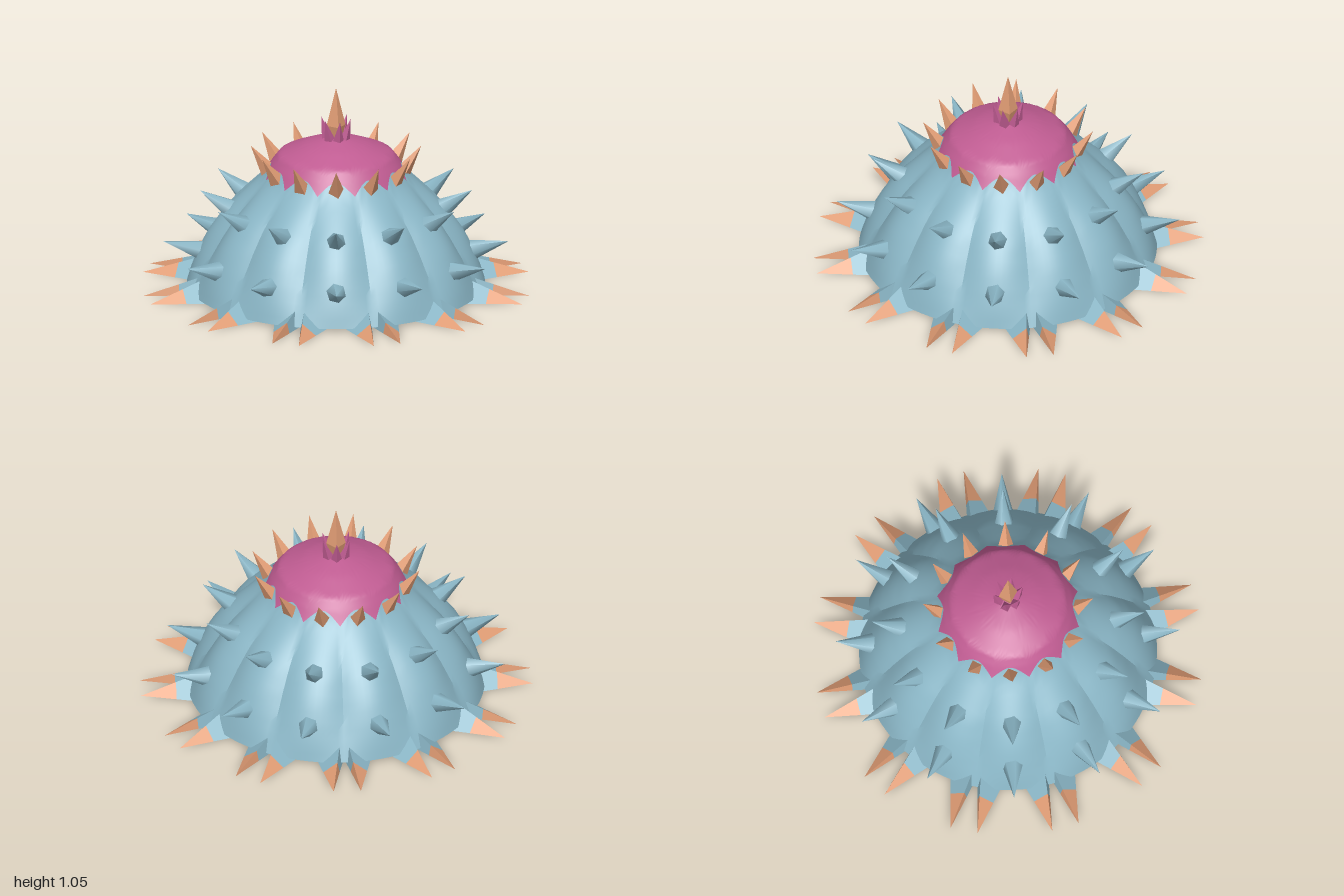
import * as THREE from 'three';
import { toCreasedNormals } from 'three/addons/utils/BufferGeometryUtils.js';

const mat = (name, color, extra = {}) => {
  const m = new THREE.MeshStandardMaterial({ color, ...extra });
  m.name = name;
  return m;
};

// Dome outline: [height, radius] from rim to pole
const PROFILE = [[0.02, 0.76], [0.1, 0.73], [0.2, 0.685], [0.3, 0.63], [0.4, 0.56],
  [0.5, 0.465], [0.6, 0.367], [0.66, 0.33], [0.71, 0.292], [0.765, 0.16], [0.805, 0.002]];
const LOBES = 12, STEP = Math.PI * 2 / LOBES;

function radiusAt(y) {
  for (let i = 1; i < PROFILE.length; i++) {
    const [y0, r0] = PROFILE[i - 1], [y1, r1] = PROFILE[i];
    if (y <= y1) return r0 + (r1 - r0) * (y - y0) / (y1 - y0);
  }
  return 0.002;
}

// Puffed lobes with creased seams every 30 degrees
const lobe = a => Math.abs(Math.sin(a * LOBES / 2));
function domeRadius(y, a) {
  const t = THREE.MathUtils.clamp((y - 0.02) / 0.58, 0, 1);
  return radiusAt(y) + Math.sin(t * Math.PI) * (0.042 * lobe(a) - 0.025);
}
const hem = a => 0.595 + 0.065 * lobe(a);

// Closed ring surface; fn(u, angle) gives [radius, y], u runs top to bottom
function ringSurface(fn, rows, segs, inward, crease) {
  const pos = [], index = [];
  for (let i = 0; i <= rows; i++) for (let j = 0; j < segs; j++) {
    const a = j / segs * Math.PI * 2, [r, y] = fn(i / rows, a);
    pos.push(r * Math.sin(a), y, r * Math.cos(a));
  }
  for (let i = 0; i < rows; i++) for (let j = 0; j < segs; j++) {
    const k = (j + 1) % segs;
    const a = i * segs + j, b = a + segs, c = i * segs + k, d = c + segs;
    if (inward) index.push(a, c, b, c, d, b);
    else index.push(a, b, c, c, b, d);
  }
  const g = new THREE.BufferGeometry();
  g.setAttribute('position', new THREE.Float32BufferAttribute(pos, 3));
  g.setIndex(index);
  return toCreasedNormals(g, crease);
}

const polar = (a, r, y) => new THREE.Vector3(r * Math.sin(a), y, r * Math.cos(a));

// Cone piece between two points; up to four sides are faceted, more are smooth
function spike(name, from, to, r0, r1, sides, material) {
  const dir = to.clone().sub(from), len = dir.length();
  let g = new THREE.CylinderGeometry(r1, r0, len, sides, 1);
  if (sides <= 4) {
    g = g.toNonIndexed();
    g.computeVertexNormals();
  }
  const m = new THREE.Mesh(g, material);
  m.name = name;
  m.position.copy(from).addScaledVector(dir, 0.5);
  m.quaternion.setFromUnitVectors(new THREE.Vector3(0, 1, 0), dir.normalize());
  return m;
}

// Flat-bottomed piece of a rim spike between two distances, ridge on the seam side
function ridgePiece(z0, z1) {
  const section = z => {
    const s = (1 - z) / 0.3;
    return [[-0.07 * s, 0.005, z], [0.07 * s, 0.005, z], [-0.05 * s, 0.005 + 0.095 * s, z]];
  };
  const A = section(z0), B = section(z1), pos = [];
  for (let i = 0; i < 3; i++) {
    const k = (i + 1) % 3;
    pos.push(...A[i], ...A[k], ...B[k], ...A[i], ...B[k], ...B[i]);
  }
  const g = new THREE.BufferGeometry();
  g.setAttribute('position', new THREE.Float32BufferAttribute(pos, 3));
  g.computeVertexNormals();
  return g;
}

export function createModel() {
  const model = new THREE.Group();
  const blue = mat('shell blue', 0x8ab6c6);
  const tan = mat('spike tan', 0xe09c74);
  const pink = mat('cap pink', 0xc05c92);
  const purple = mat('lining purple', 0x5a5288);
  const pinkOpen = mat('star pink', 0xb04070, { side: THREE.DoubleSide });
  const add = (name, geo, material, parent = model) => {
    const m = new THREE.Mesh(geo, material);
    m.name = name;
    parent.add(m);
    return m;
  };

  // Lobed shell, scalloped cap and hollow lining
  add('shell', ringSurface((u, a) => {
    const y = hem(a) + (0.02 - hem(a)) * u;
    return [domeRadius(y, a), y];
  }, 16, 144, false, 0.45), blue);
  add('cap', ringSurface((u, a) => {
    const y = 0.805 + (hem(a) - 0.805) * u;
    return [domeRadius(y, a), y];
  }, 16, 144, false, 1.2), pink);
  add('lining', ringSurface(u => {
    const y = 0.76 - 0.74 * u;
    return u === 1 ? [0.765, 0.02] : [Math.max(0.002, radiusAt(y + 0.045) - 0.025), y];
  }, 14, LOBES, true, 0.3), purple);

  // Paired rim spikes, mirrored beside every seam
  const rimBase = ridgePiece(0.68, 0.82), rimTip = ridgePiece(0.82, 0.999);
  for (let k = 0; k < LOBES; k++) {
    const pair = new THREE.Group();
    pair.name = 'rimSpikePair';
    pair.rotation.y = k * STEP;
    for (const side of [-1, 1]) {
      const one = new THREE.Group();
      one.name = 'rimSpike';
      one.scale.x = side;
      one.position.x = side * 0.07;
      add('rimSpikeBase', rimBase, blue, one);
      add('rimSpikeTip', rimTip, tan, one);
      pair.add(one);
    }
    model.add(pair);
  }

  // Three rows of spikes along the lobe centres
  for (let k = 0; k < LOBES; k++) {
    const a = (k + 0.5) * STEP;
    model.add(
      spike('lowerSpike', polar(a, 0.68, 0.185), polar(a, 0.88, 0.235), 0.056, 0, 6, blue),
      spike('upperSpike', polar(a, 0.53, 0.405), polar(a, 0.695, 0.51), 0.056, 0, 6, blue),
      spike('capSpike', polar(a, 0.335, 0.6), polar(a, 0.435, 0.75), 0.047, 0, 4, tan));
  }

  // Crown: one tall spike ringed by six small ones
  model.add(
    spike('crownSpike', new THREE.Vector3(0, 0.86, 0), new THREE.Vector3(0, 1.06, 0), 0.05, 0, 4, tan),
    spike('crownSpikeFoot', new THREE.Vector3(0, 0.79, 0), new THREE.Vector3(0, 0.86, 0), 0.03, 0.05, 4, tan));
  for (let k = 0; k < 6; k++) {
    const a = k * Math.PI / 3;
    model.add(spike('crownPetal', polar(a, 0.045, 0.785), polar(a, 0.078, 0.9), 0.03, 0, 4, pink));
  }

  // Hanging stalk with a pointed star beneath
  const stalk = [[0.001, 0.25], [0.075, 0.25], [0.095, 0.265], [0.1, 0.3], [0.095, 0.34],
    [0.07, 0.37], [0.05, 0.42], [0.05, 0.74]].map(p => new THREE.Vector2(...p));
  add('stalk', new THREE.LatheGeometry(stalk, 24), pink);
  const star = new THREE.Shape();
  for (let i = 0; i < 20; i++) {
    const r = i % 2 ? 0.08 : 0.155, a = i * Math.PI / 10;
    star[i ? 'lineTo' : 'moveTo'](r * Math.sin(a), r * Math.cos(a));
  }
  const starMesh = add('stalkStar', new THREE.ShapeGeometry(star), pinkOpen);
  starMesh.rotation.x = Math.PI / 2;
  starMesh.position.y = 0.235;

  // Four teeth inside the two front lobes, pointing inward and down
  for (const side of [-1, 1]) for (const [r0, y0, r1, y1] of [[0.53, 0.385, 0.31, 0.25], [0.66, 0.15, 0.41, 0.04]]) {
    const a = side * STEP / 2;
    const root = polar(a, r0, y0), tip = polar(a, r1, y1), mid = root.clone().lerp(tip, 0.6);
    model.add(
      spike('innerTooth', root, mid, 0.055, 0.028, 8, purple),
      spike('innerToothTip', mid, tip, 0.028, 0, 8, pink));
  }
  return model;
}
